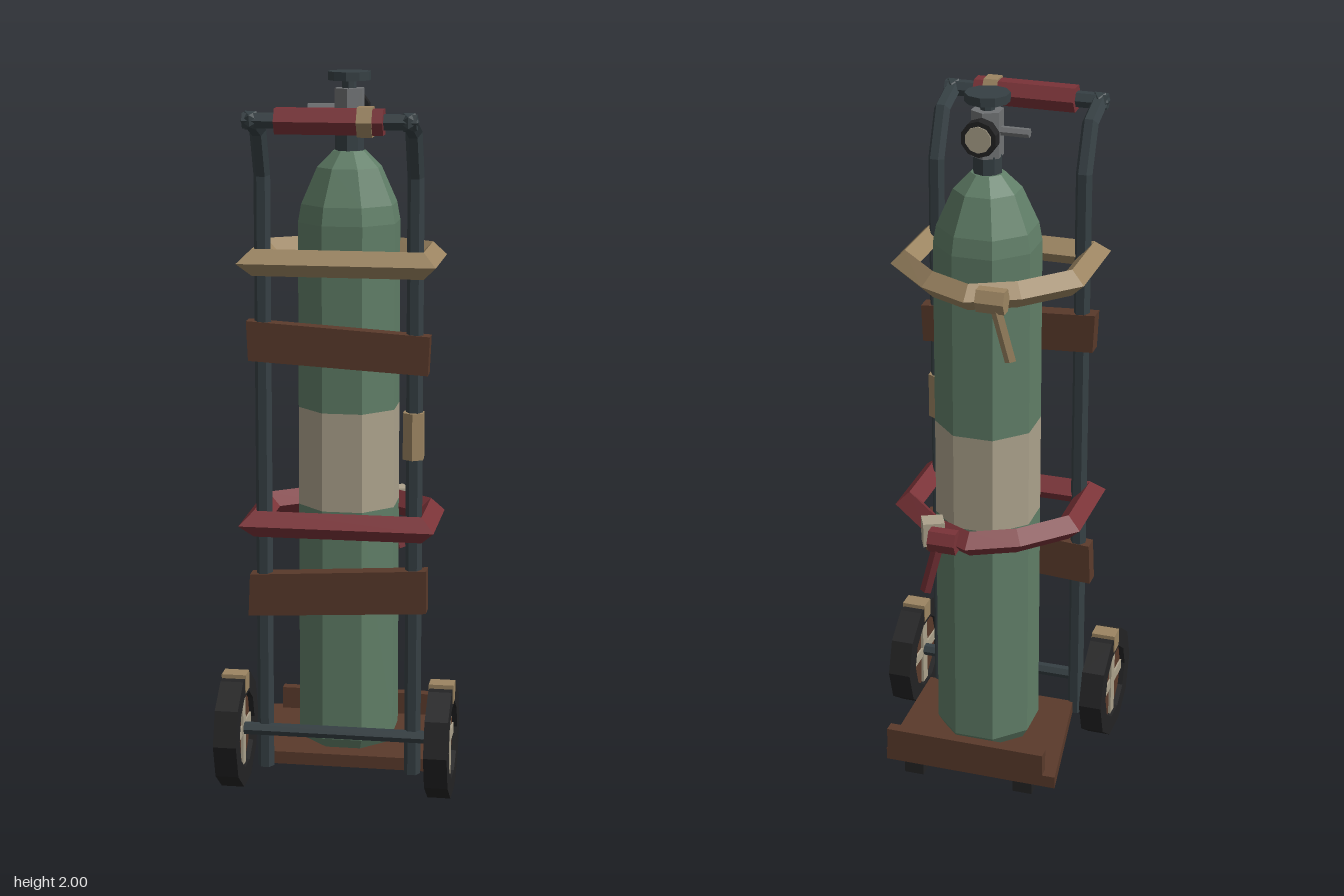
import * as THREE from 'three';

const mat = (name, color) => {
  const m = new THREE.MeshStandardMaterial({ color });
  m.name = name;
  return m;
};

export function createModel() {
  const green = mat('bottle green', 0x607e67);
  const cream = mat('cream', 0xaca28c);
  const tan = mat('tan', 0x9c8562);
  const red = mat('dark red', 0x7a3338);
  const brown = mat('wood brown', 0x5a3a2b);
  const slate = mat('slate steel', 0x364044);
  const black = mat('rubber black', 0x232324);
  const grey = mat('valve grey', 0x707274);

  const root = new THREE.Group();
  root.name = 'gasBottleTrolley';
  const V = (x, y, z) => new THREE.Vector3(x, y, z);

  // Faceted mesh at a position
  const add = (name, geo, material, pos = [0, 0, 0], parent = root) => {
    const flat = geo.index ? geo.toNonIndexed() : geo;
    flat.computeVertexNormals();
    const mesh = new THREE.Mesh(flat, material);
    mesh.name = name;
    mesh.position.set(...pos);
    parent.add(mesh);
    return mesh;
  };
  const box = (w, h, d) => new THREE.BoxGeometry(w, h, d);
  const cyl = (r, h, n, r2 = r) => new THREE.CylinderGeometry(r, r2, h, n);
  const lathe = (pts, n, start = 0) =>
    new THREE.LatheGeometry(pts.map(p => new THREE.Vector2(...p)), n, start);

  // Mitred sweep of a regular polygon along a planar path
  const sweep = (pts, normal, r, sides, closed) => {
    const n = pts.length, pos = [], idx = [];
    pts.forEach((p, i) => {
      const prev = closed || i > 0 ? pts[(i + n - 1) % n] : null;
      const next = closed || i < n - 1 ? pts[(i + 1) % n] : null;
      const d0 = (prev ? p.clone().sub(prev) : next.clone().sub(p)).normalize();
      const d1 = (next ? next.clone().sub(p) : d0.clone()).normalize();
      const t = d0.clone().add(d1).normalize();
      const side = t.clone().cross(normal).divideScalar(t.dot(d1));
      for (let k = 0; k < sides; k++) {
        const a = k / sides * Math.PI * 2;
        const q = p.clone().addScaledVector(normal, r * Math.cos(a)).addScaledVector(side, r * Math.sin(a));
        pos.push(q.x, q.y, q.z);
      }
    });
    for (let i = 0; i < (closed ? n : n - 1); i++) {
      for (let k = 0; k < sides; k++) {
        const k1 = (k + 1) % sides, j = (i + 1) % n;
        const a = i * sides + k, b = i * sides + k1, c = j * sides + k1, d = j * sides + k;
        idx.push(a, b, c, a, c, d);
      }
    }
    if (!closed) {
      const e = (n - 1) * sides;
      for (let k = 1; k < sides - 1; k++) idx.push(0, k + 1, k, e, e + k, e + k + 1);
    }
    const g = new THREE.BufferGeometry();
    g.setAttribute('position', new THREE.Float32BufferAttribute(pos, 3));
    g.setIndex(idx);
    return g;
  };

  // Flat board from a corner outline
  const board = (corners, depth) => new THREE.ExtrudeGeometry(
    new THREE.Shape(corners.map(c => new THREE.Vector2(...c))), { depth, bevelEnabled: false });

  // Gas bottle
  const bottle = new THREE.Group();
  bottle.name = 'bottle';
  bottle.position.z = -0.08;
  root.add(bottle);
  const R = 0.146, turn = Math.PI / 8;
  add('bottleLower', lathe([[0, 0.09], [0.128, 0.09], [R, 0.12], [R, 0.79]], 8, turn), green, undefined, bottle);
  add('bottleBand', lathe([[R, 0.79], [R, 1.07]], 8, turn), cream, undefined, bottle);
  add('bottleUpper', lathe([[R, 1.07], [R, 1.59], [0.137, 1.64], [0.092, 1.74], [0.046, 1.785], [0, 1.785]], 8, turn),
    green, undefined, bottle);

  // Valve, handwheel, outlet and gauge
  add('neck', cyl(0.04, 0.06, 8), slate, [0, 1.805, 0], bottle);
  add('valveBody', cyl(0.044, 0.125, 6), grey, [0, 1.892, 0], bottle);
  add('valveStem', cyl(0.02, 0.04, 8), slate, [0, 1.965, 0], bottle);
  add('handwheel', cyl(0.06, 0.024, 10), slate, [0, 1.988, 0], bottle);
  add('outlet', cyl(0.013, 0.09, 6).rotateZ(Math.PI / 2), grey, [-0.07, 1.9, 0], bottle);
  add('gauge', cyl(0.049, 0.033, 10).rotateX(Math.PI / 2), black, [0, 1.895, -0.061], bottle);
  add('gaugeFace', cyl(0.036, 0.006, 10).rotateX(Math.PI / 2), cream, [0, 1.895, -0.078], bottle);

  // Rails, wheels and feet on both sides
  for (const s of [-1, 1]) {
    const x = 0.209 * s;
    add('rail', sweep([V(x, 0.055, 0.112), V(x, 1.735, 0.112), V(x, 1.86, 0.165), V(x, 1.893, 0.262)],
      V(1, 0, 0), 0.023, 6, false), slate);
    add('railJoint', new THREE.IcosahedronGeometry(0.029, 0), slate, [x, 1.893, 0.262]);
    add('foot', box(0.056, 0.056, 0.065), black, [0.163 * s, 0.028, -0.242]);

    const wheel = new THREE.Group();
    wheel.name = 'wheel';
    wheel.position.set(0.293 * s, 0.165, 0.128);
    root.add(wheel);
    const h = 0.0325, ri = 0.108, ro = 0.163;
    add('tyre', lathe([[ri, -h], [ro, -h], [ro, h], [ri, h], [ri, -h]], 10).rotateX(Math.PI / 2).rotateY(Math.PI / 2)
      .rotateX(Math.PI / 2), black, undefined, wheel);
    add('hub', cyl(0.112, 0.036, 10).rotateZ(Math.PI / 2), brown, undefined, wheel);
    add('spokeUpright', box(0.05, 0.208, 0.036), cream, undefined, wheel);
    add('spokeLevel', box(0.046, 0.03, 0.208), cream, undefined, wheel);
    add('tyrePatch', box(0.069, 0.053, 0.05), tan, [0, 0.14, -0.002], wheel);
  }
  add('axle', cyl(0.018, 0.54, 6).rotateZ(Math.PI / 2), slate, [0, 0.168, 0.128]);

  // Handle
  const handle = new THREE.Group();
  handle.name = 'handle';
  handle.position.set(0, 1.893, 0.262);
  root.add(handle);
  const across = (r, w) => cyl(r, w, 6).rotateZ(Math.PI / 2);
  add('handleBar', across(0.023, 0.46), slate, undefined, handle);
  add('grip', across(0.039, 0.287), red, undefined, handle);
  add('gripTape', across(0.045, 0.04), tan, [0.095, 0, 0], handle);
  add('railTape', cyl(0.032, 0.13, 6), tan, [0.207, 1.03, 0.113]);

  // Crooked wooden cross boards
  add('upperBoard', board([[-0.247, 1.228], [0.247, 1.2], [0.252, 1.307], [-0.252, 1.338]], 0.046), brown, [0, 0, 0.09]);
  add('lowerBoard', board([[-0.252, 0.502], [0.247, 0.53], [0.247, 0.652], [-0.247, 0.622]], 0.046), brown, [0, 0, 0.09]);

  // Skewed base plate and rear lip
  add('basePlate', board([[-0.205, -0.098], [0.242, -0.098], [0.235, 0.305], [-0.268, 0.305]], 0.036)
    .rotateX(-Math.PI / 2), brown, [0, 0.055, 0]);
  add('rearLip', box(0.463, 0.07, 0.032), brown, [0.001, 0.12, -0.289]);

  // Straps with a knot and a hanging tail
  const half = [[0.234, 0.139], [0.234, -0.08], [0.117, -0.19]];
  const loop = [...half, [0, -0.247], ...half.slice().reverse().map(([x, z]) => [-x, z])];
  const strap = (name, y, material, s) => {
    add(name, sweep(loop.map(([x, z]) => V(x, y - (z < -0.15 ? 0.005 : 0), z)), V(0, 1, 0), 0.037, 4, true), material);
    const knot = add(name + 'Knot', cyl(0.036, 0.078, 6).rotateZ(Math.PI / 2), material, [0.07 * s, y, -0.262]);
    knot.scale.set(1, 1, 0.85);
    add(name + 'Tail', sweep([V(0.085 * s, y - 0.02, -0.275), V(0.123 * s, y - 0.165, -0.266)],
      V(0, 0, 1), 0.016, 4, false).translate(0, 0, 0.27).scale(1, 1, 0.5).translate(0, 0, -0.27), material);
  };
  strap('upperStrap', 1.5, tan, -1);
  strap('lowerStrap', 0.77, red, 1);
  add('strapBuckle', box(0.06, 0.07, 0.055), cream, [0.118, 0.768, -0.212]).rotation.y = 0.45;

  return root;
}
